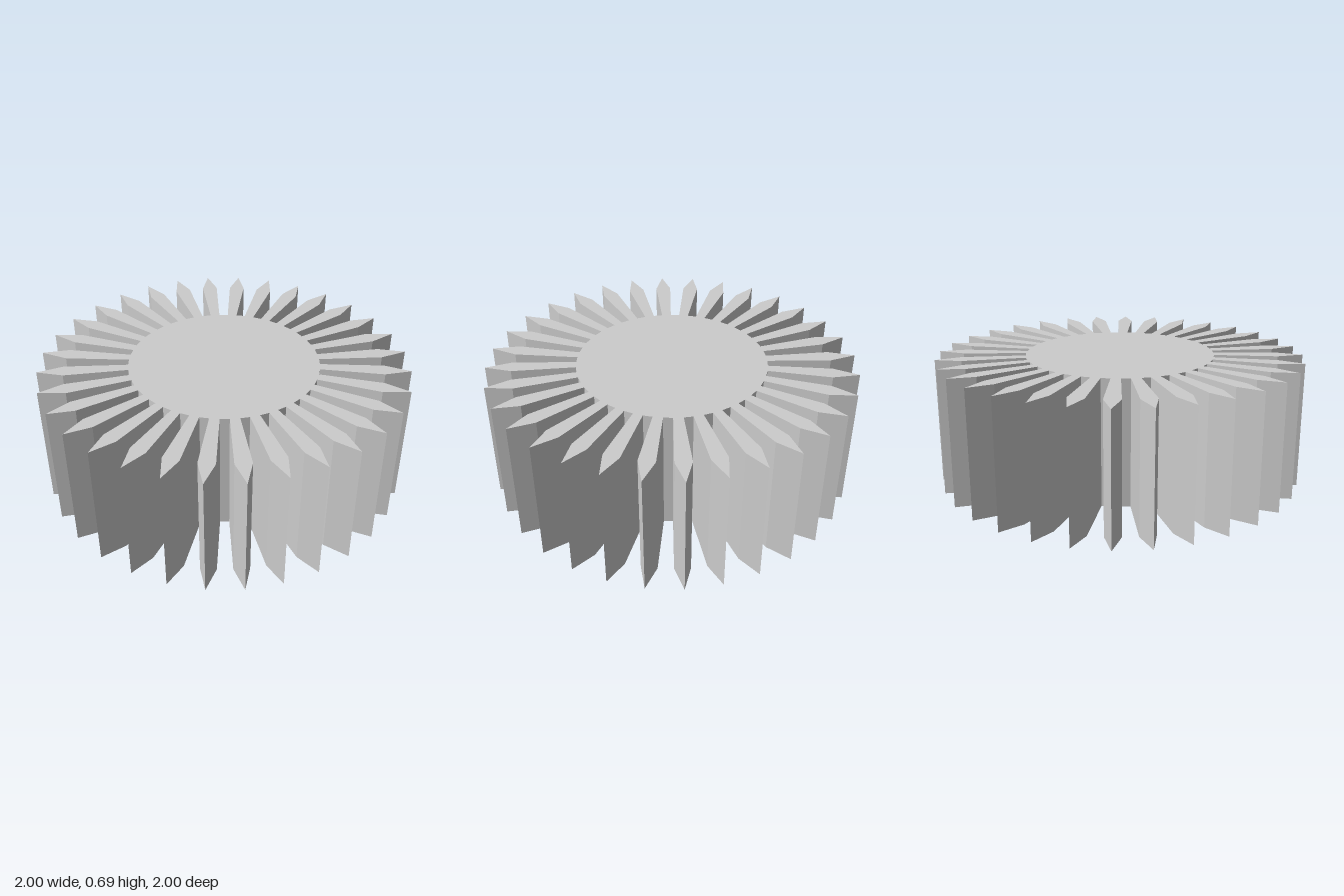
import * as THREE from 'three';

const TEETH = 32;
const HEIGHT = 0.69;
const PHASE = THREE.MathUtils.degToRad(3.15);

// One tooth along +x as [radial, sideways] points: root, shoulder, tip, shoulder, root
const TOOTH = [[0.516, -0.026], [0.86, -0.043], [1.0015, 0], [0.86, 0.043], [0.516, 0.026]];

export function createModel() {
  const group = new THREE.Group();
  group.name = 'splinedWheel';

  // Closed outline: the same pointed tooth repeated around the hub
  const outline = [];
  for (let i = 0; i < TEETH; i++) {
    const angle = PHASE + (i / TEETH) * Math.PI * 2;
    for (const [r, s] of TOOTH) {
      outline.push(new THREE.Vector2(r, s).rotateAround(new THREE.Vector2(), angle));
    }
  }

  // Extrude the hub and teeth as one solid, then lay it flat on the ground
  const geometry = new THREE.ExtrudeGeometry(new THREE.Shape(outline), {
    depth: HEIGHT, bevelEnabled: false,
  });
  geometry.rotateX(Math.PI / 2);
  geometry.translate(0, HEIGHT, 0);

  const material = new THREE.MeshStandardMaterial({ color: 0xcccccc, flatShading: true });
  const wheel = new THREE.Mesh(geometry, material);
  wheel.name = 'hubWithTeeth';
  group.add(wheel);
  return group;
}
